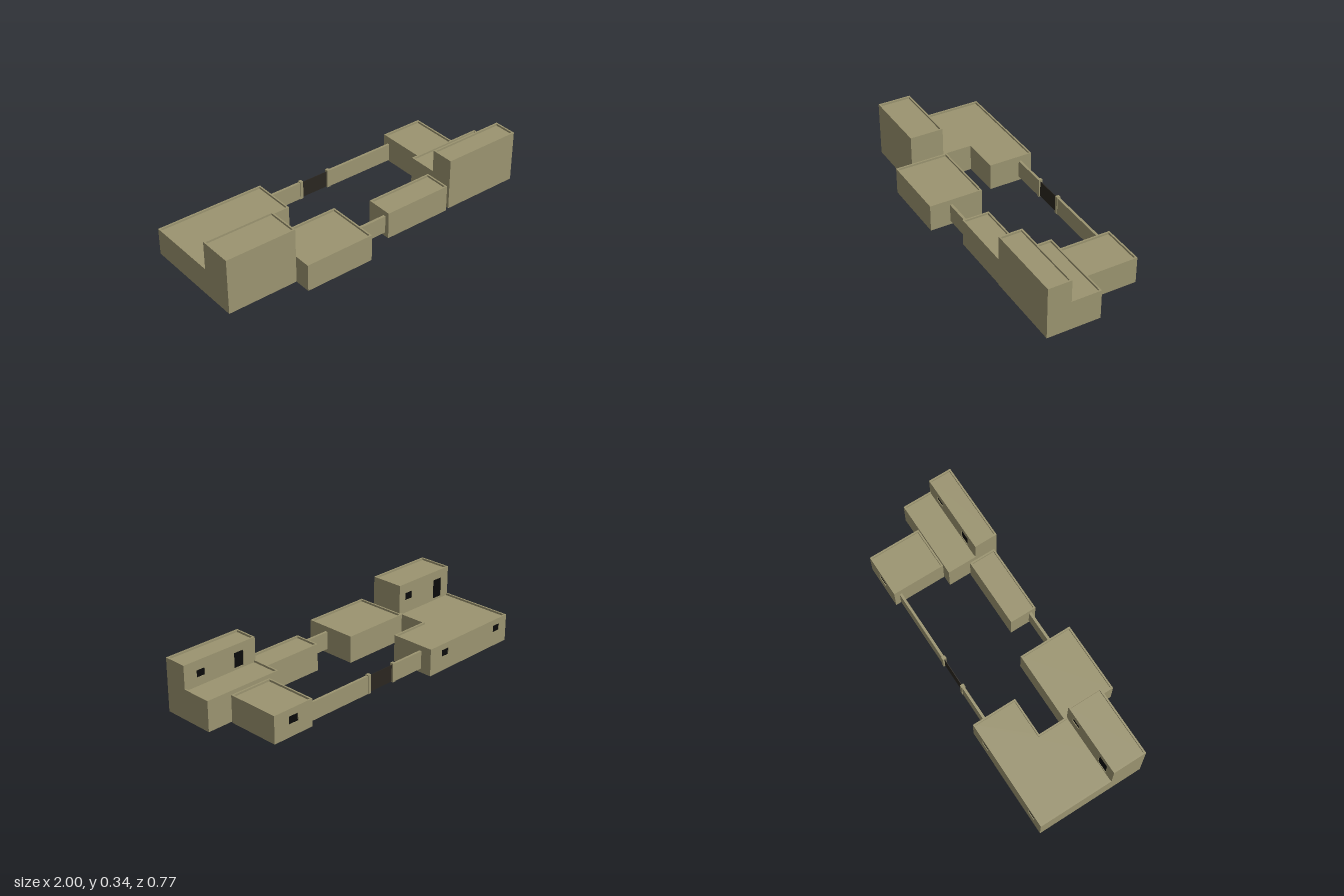
import * as THREE from 'three';

const wallMat = new THREE.MeshStandardMaterial({ color: 0x9b9470 });
const darkMat = new THREE.MeshStandardMaterial({ color: 0x0a0a0a });
const gateMat = new THREE.MeshStandardMaterial({ color: 0x2a2620 });
const RIM = 0.01, RIM_H = 0.012, RECESS = 0.008;

const rect = (x0, x1, z0, z1) => [[x0, z1], [x1, z1], [x1, z0], [x0, z0]];

// Inset a right-angled outline (front edge first, running towards +x)
function inset(pts, t) {
  const n = pts.length;
  const normal = (a, b) => {
    const dx = b[0] - a[0], dz = b[1] - a[1], l = Math.hypot(dx, dz);
    return [dz / l, -dx / l];
  };
  return pts.map((p, i) => {
    const a = normal(pts[(i + n - 1) % n], p), b = normal(p, pts[(i + 1) % n]);
    return [p[0] + t * (a[0] + b[0]), p[1] + t * (a[1] + b[1])];
  });
}

// Extrude a floor plan upwards from y0 to y1
function extrudePlan(name, pts, y0, y1, hole) {
  const toVec = ([x, z]) => new THREE.Vector2(x, -z);
  const shape = new THREE.Shape(pts.map(toVec));
  if (hole) shape.holes.push(new THREE.Path(hole.map(toVec)));
  const geo = new THREE.ExtrudeGeometry(shape, { depth: y1 - y0, bevelEnabled: false });
  geo.rotateX(-Math.PI / 2).translate(0, y0, 0);
  const mesh = new THREE.Mesh(geo, wallMat);
  mesh.name = name;
  return mesh;
}

function box(name, x0, x1, y0, y1, z0, z1, mat = wallMat) {
  const mesh = new THREE.Mesh(new THREE.BoxGeometry(x1 - x0, y1 - y0, z1 - z0), mat);
  mesh.position.set((x0 + x1) / 2, (y0 + y1) / 2, (z0 + z1) / 2);
  mesh.name = name;
  return mesh;
}

// Flat-roofed block with a parapet; openings [x0, x1, y0, y1] are recessed in the rear wall
function block(name, plan, y0, y1, openings = []) {
  const group = new THREE.Group();
  group.name = name;
  const roof = y1 - RIM_H;
  const back = Math.min(...plan.map(p => p[1]));
  let core = plan;
  if (openings.length) {
    core = plan.map(([x, z]) => [x, z === back ? z + RECESS : z]);
    const xs = plan.filter(p => p[1] === back).map(p => p[0]);
    const outline = (a, b, c, d) => [[a, c], [b, c], [b, d], [a, d]].map(p => new THREE.Vector2(...p));
    const face = new THREE.Shape(outline(Math.min(...xs), Math.max(...xs), y0, roof));
    for (const o of openings) {
      face.holes.push(new THREE.Path(outline(...o)));
      const tall = o[3] - o[2] > 0.07;
      group.add(box(tall ? 'door' : 'window', ...o, back + 0.004, back + RECESS + 0.001, darkMat));
    }
    const wall = new THREE.Mesh(
      new THREE.ExtrudeGeometry(face, { depth: RECESS, bevelEnabled: false }), wallMat);
    wall.position.z = back;
    wall.name = 'rearWall';
    group.add(wall);
  }
  group.add(extrudePlan('body', core, y0, roof));
  group.add(extrudePlan('parapet', plan, roof, y1, inset(plan, RIM)));
  return group;
}

export function createModel() {
  const model = new THREE.Group();
  model.name = 'walledCompound';

  // L-shaped house with an upper storey
  const lPlan = [[-1, 0.282], [-0.565, 0.282], [-0.565, -0.108], [-0.322, -0.108], [-0.322, -0.385], [-1, -0.385]];
  model.add(block('cornerHouse', lPlan, 0, 0.167,
    [[-0.475, -0.42, 0.087, 0.13], [-0.935, -0.88, 0.087, 0.13]]));
  model.add(block('cornerHouseUpperStorey', rect(-1, -0.565, 0.075, 0.282), 0.155, 0.343,
    [[-0.675, -0.615, 0.235, 0.282], [-0.94, -0.868, 0.167, 0.288]]));

  // Single-storey front rooms
  model.add(block('frontRoom', rect(-0.565, -0.13, 0.055, 0.385), 0, 0.167));
  model.add(block('frontGallery', rect(0.07, 0.505, 0.122, 0.287), 0, 0.167));

  // Two-storey house with a terrace, and its rear room
  model.add(block('terraceHouse', rect(0.505, 1, -0.02, 0.305), 0.025, 0.207));
  model.add(block('terraceHouseUpperStorey', rect(0.505, 1, 0.162, 0.305), 0.195, 0.345,
    [[0.86, 0.915, 0.245, 0.288], [0.59, 0.655, 0.207, 0.298]]));
  model.add(block('rearRoom', rect(0.57, 0.84, -0.348, -0.02), 0.018, 0.183,
    [[0.672, 0.738, 0.092, 0.14]]));

  // Courtyard walls
  model.add(box('frontWall', -0.13, 0.07, 0.025, 0.135, 0.244, 0.26));
  model.add(box('rearWallLeft', 0.106, 0.57, 0.025, 0.135, -0.315, -0.3));
  model.add(box('rearWallRight', -0.322, -0.092, 0.025, 0.135, -0.315, -0.3));

  // Gate between two posts
  for (const x of [-0.092, 0.106]) {
    model.add(box('gatePost', x - 0.01, x + 0.01, 0.025, 0.141, -0.319, -0.296));
  }
  model.add(box('gate', -0.082, 0.096, 0.028, 0.13, -0.309, -0.305, gateMat));
  return model;
}
